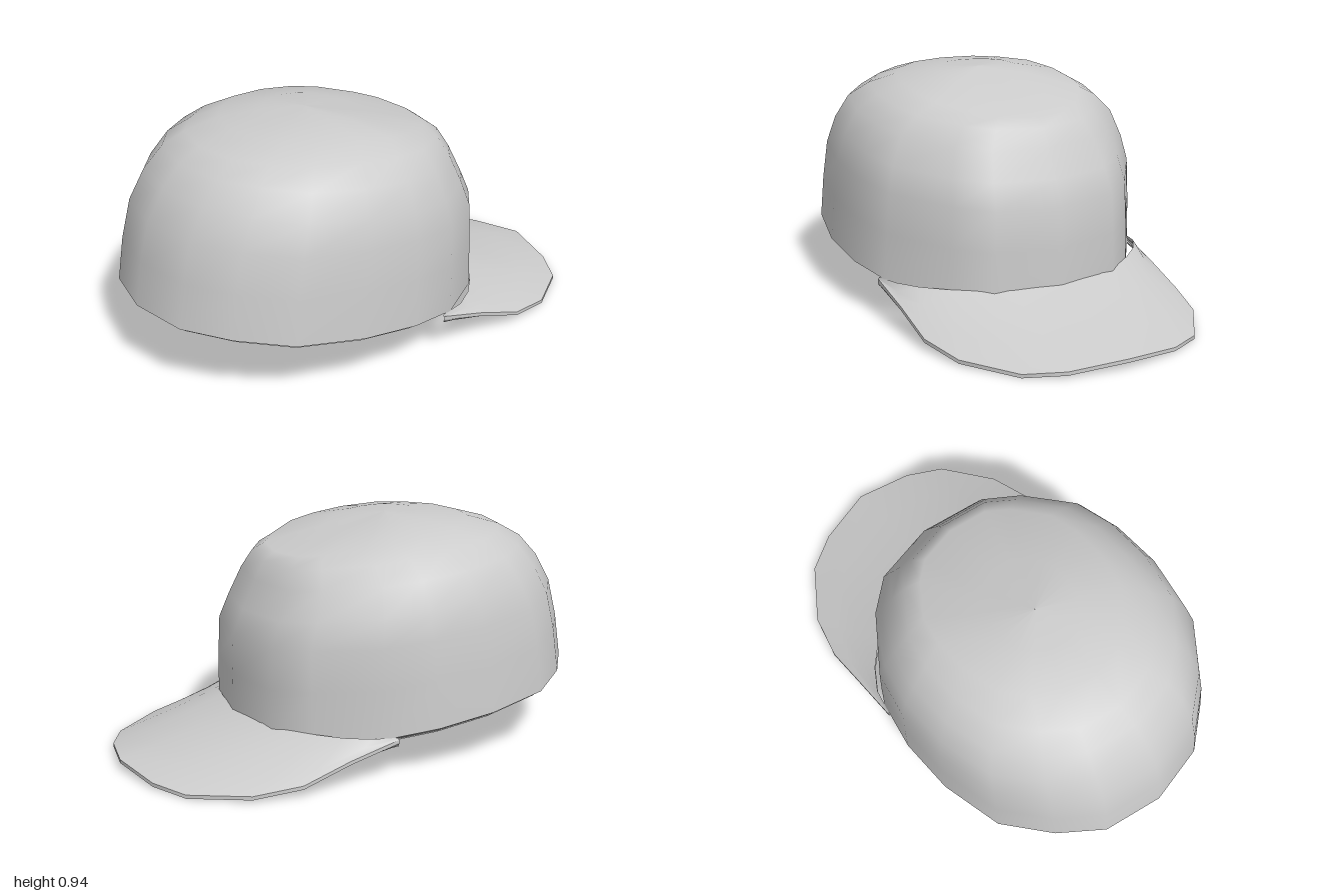
import * as THREE from 'three';

// Surface through rows of points; faces point along (row direction) x (next row)
function loft(rows, closed) {
  const n = rows[0].length, index = [];
  for (let r = 0; r < rows.length - 1; r++) {
    for (let i = 0; i < (closed ? n : n - 1); i++) {
      const a = r * n + i, b = r * n + (i + 1) % n;
      index.push(a, b, b + n, a, b + n, a + n);
    }
  }
  const g = new THREE.BufferGeometry();
  g.setAttribute('position', new THREE.Float32BufferAttribute(rows.flat(2), 3));
  g.setIndex(index);
  g.computeVertexNormals();
  return g;
}

// Half outline of the head opening in unit size, front to back, then mirrored
const half = [[0, 1], [0.4, 0.935], [0.67, 0.76], [0.905, 0.51], [1, 0.15], [1, -0.18],
  [0.93, -0.46], [0.66, -0.78], [0.44, -0.93], [0, -1]];
const outline = [...half, ...half.slice(1, -1).reverse().map(([x, z]) => [-x, z])];

// Tilted ring: half width, front z/y, back z/y, extra height at the middle
function ring([w, zf, yf, zb, yb, bulge], inset = 0, drop = 0) {
  const k = Math.min(inset, w * 0.5);
  return outline.map(([x, t]) => [
    x * (w - k),
    yb + (yf - yb) * (t + 1) / 2 + bulge * (1 - t * t) - drop,
    (zf + zb) / 2 + t * ((zf - zb) / 2 - k),
  ]);
}

const levels = [
  [0.63, 1.0, 0.29, -0.51, 0.13, 0],
  [0.62, 0.972, 0.47, -0.508, 0.33, 0],
  [0.607, 0.93, 0.63, -0.50, 0.50, 0],
  [0.58, 0.86, 0.75, -0.455, 0.60, 0],
  [0.53, 0.78, 0.835, -0.40, 0.715, 0.01],
  [0.45, 0.69, 0.885, -0.36, 0.79, 0.015],
  [0.36, 0.55, 0.925, -0.31, 0.825, 0.025],
  [0.18, 0.38, 0.942, -0.05, 0.895, 0.018],
  [0.001, 0.201, 0.946, 0.199, 0.946, 0],
];

// Brim: seam along the back of the crown and the free outer edge (x, y, z)
const mirror = (pts) => [...pts, ...pts.slice(0, -1).reverse().map(([x, y, z]) => [-x, y, z])];
const seam = mirror([[0.595, 0.175, -0.06], [0.57, 0.18, -0.17], [0.51, 0.18, -0.26],
  [0.42, 0.18, -0.345], [0.32, 0.18, -0.42], [0.2, 0.18, -0.475], [0, 0.18, -0.505]]);
const edge = mirror([[0.6, 0.168, -0.06], [0.595, 0.115, -0.27], [0.59, 0.05, -0.47],
  [0.54, 0.025, -0.66], [0.39, 0.016, -0.87], [0.24, 0.025, -0.95], [0, 0.047, -1]]);
const between = (t, sag) => seam.map((p, i) =>
  p.map((v, k) => v + (edge[i][k] - v) * t - (k === 1 ? sag : 0)));
const lower = (pts, d) => pts.map(([x, y, z]) => [x, y - d, z]);

export function createModel() {
  const model = new THREE.Group();
  const material = new THREE.MeshStandardMaterial({ color: 0xcccccc, side: THREE.DoubleSide });
  const add = (name, rows, closed, parent = model) => {
    const mesh = new THREE.Mesh(loft(rows, closed), material);
    mesh.name = name;
    parent.add(mesh);
  };

  // Crown shell and its lining
  add('crown', levels.map((l) => ring(l)), true);
  add('lining', levels.map((l) => ring(l, 0.035, 0.025)).reverse(), true);

  // Turned-under rim and inner sweatband
  const rim = levels[0];
  add('rim', [ring(rim, 0.06, 0.012), ring(rim, 0.03, 0.018), ring(rim)], true);
  add('sweatband', [ring(rim, 0.075, -0.18), ring(rim, 0.06, 0.012)], true);

  // Brim with upper face, underside and thin edge
  const brim = new THREE.Group();
  brim.name = 'brim';
  model.add(brim);
  const rows = [between(0, 0), between(0.3, 0.008), between(0.65, 0.006), edge];
  add('brimTop', [...rows].reverse(), false, brim);
  add('brimUnderside', rows.map((r, i) => lower(r, 0.03 - i * 0.005)), false, brim);
  add('brimEdge', [lower(edge, 0.015), edge], false, brim);

  return model;
}
